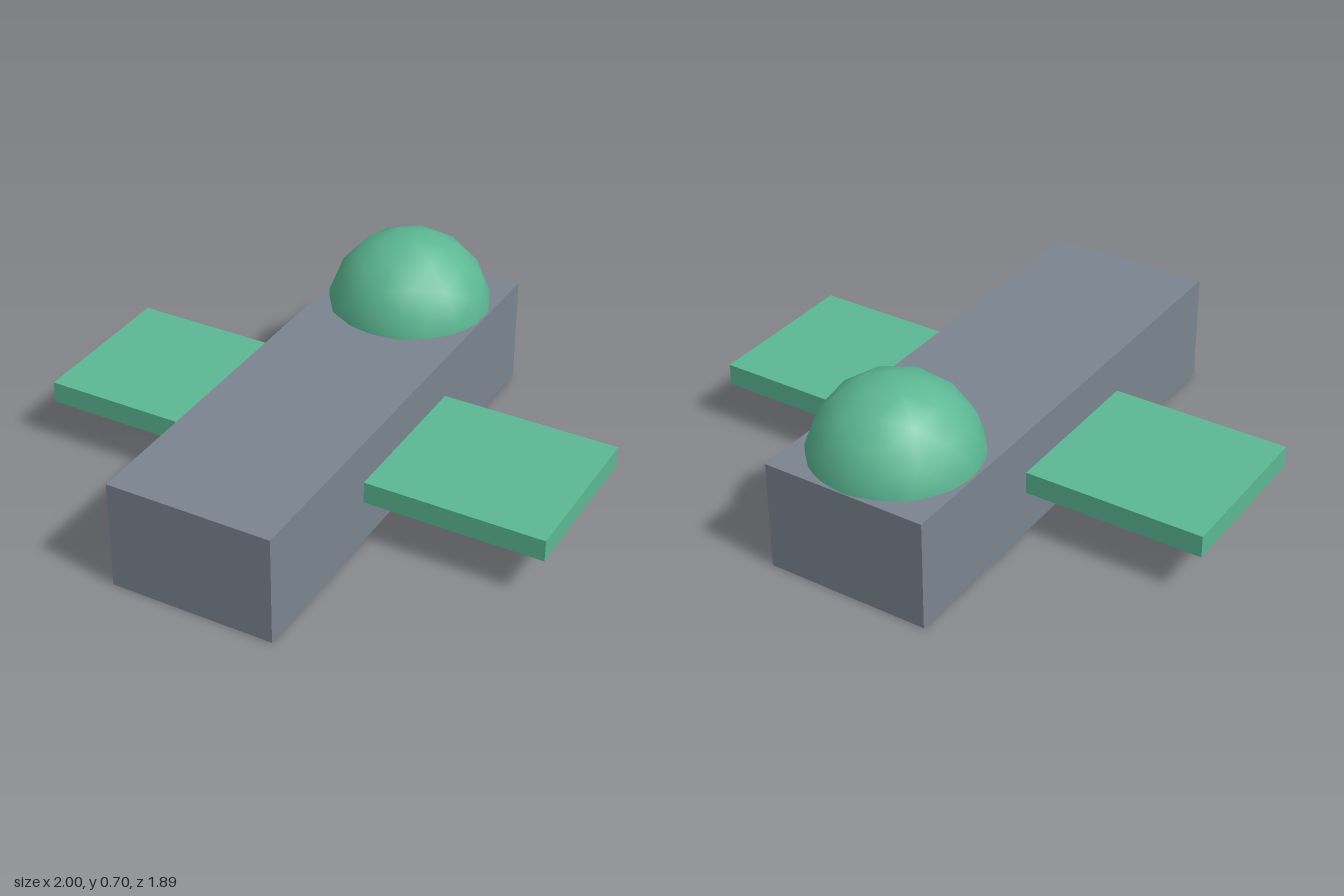
import * as THREE from 'three';

const slate = new THREE.MeshStandardMaterial({ color: 0x7b8490 });
const green = new THREE.MeshStandardMaterial({ color: 0x5cb894 });

function addPart(group, name, geometry, material, x, y, z) {
  const mesh = new THREE.Mesh(geometry, material);
  mesh.name = name;
  mesh.position.set(x, y, z);
  group.add(mesh);
  return mesh;
}

export function createModel() {
  const model = new THREE.Group();
  model.name = 'blockAircraft';

  // Long box body resting on the ground
  addPart(model, 'body', new THREE.BoxGeometry(0.63, 0.42, 1.89), slate, 0, 0.21, 0);

  // One flat slab passing through the body forms both wings
  addPart(model, 'wings', new THREE.BoxGeometry(2, 0.084, 0.63), green, 0, 0.212, 0);

  // Low-poly ball sunk into the rear of the body, showing as a dome
  const dome = addPart(model, 'dome', new THREE.IcosahedronGeometry(0.314, 2), green, 0, 0.385, -0.634);
  dome.rotation.set(0.15, 0.4, 0.1);

  return model;
}
